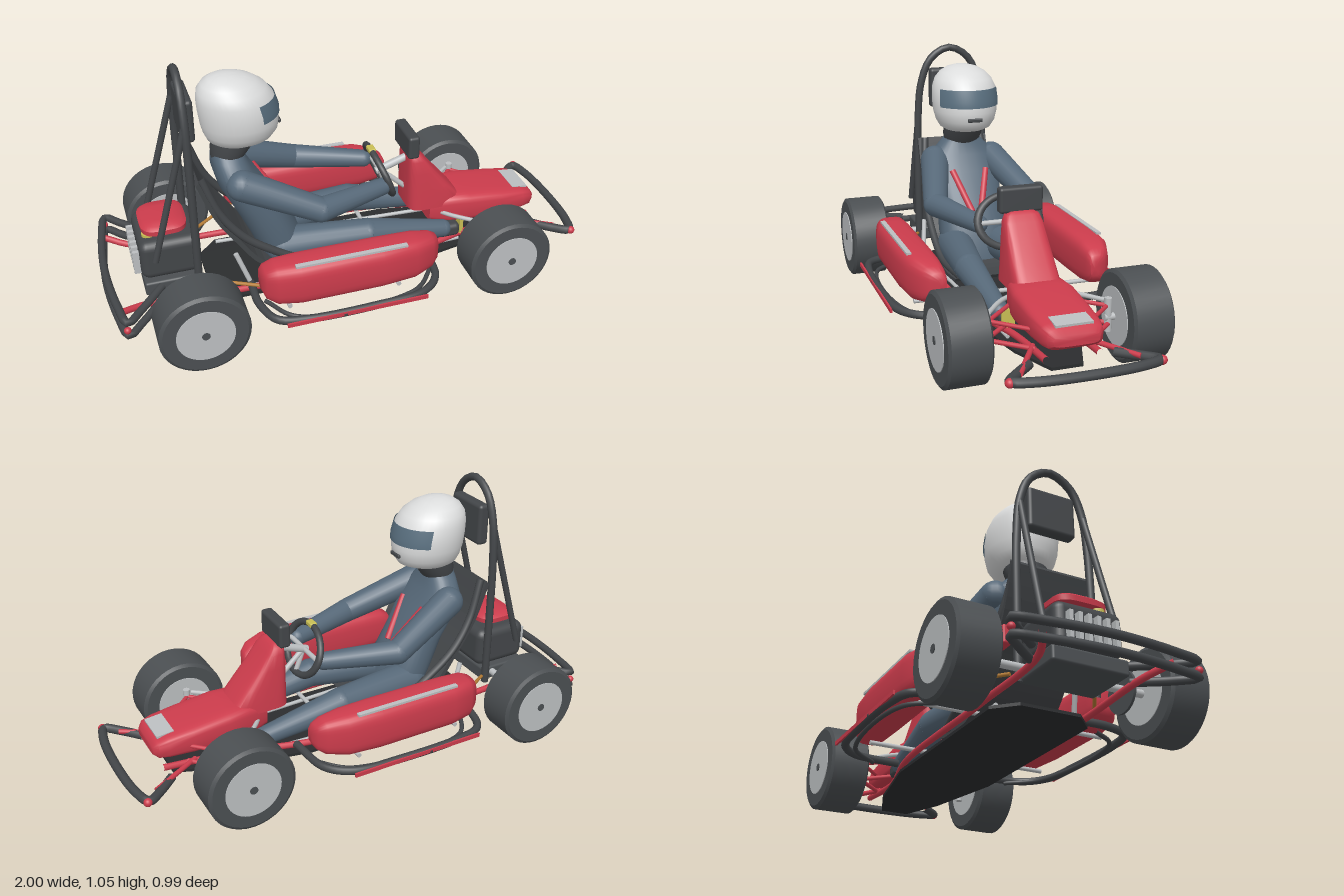
import * as THREE from 'three';
import { toCreasedNormals } from 'three/addons/utils/BufferGeometryUtils.js';
import { RoundedBoxGeometry } from 'three/addons/geometries/RoundedBoxGeometry.js';

const paint = (name, color, side = THREE.FrontSide) => {
  const m = new THREE.MeshStandardMaterial({ color, side });
  m.name = name;
  return m;
};

// Lofts superellipse rings along x or y. Section: [position, centre1, centre2, radius1, radius2];
// the two ring axes are (y, z) for axis x and (z, x) for axis y.
function loft(axis, sections, power = 2, n = 32, t0 = 0, t1 = Math.PI * 2) {
  const pos = [], idx = [], closed = t1 - t0 > 6.2;
  const put = (p, a, b) => (axis === 'x' ? pos.push(p, a, b) : pos.push(b, p, a));
  const bend = (v) => Math.sign(v) * Math.abs(v) ** (2 / power);
  for (const [p, c1, c2, r1, r2] of sections) {
    for (let j = 0; j <= n; j++) {
      const t = t0 + ((t1 - t0) * j) / n;
      put(p, c1 + r1 * bend(Math.cos(t)), c2 + r2 * bend(Math.sin(t)));
    }
  }
  const row = n + 1, last = sections.length - 1;
  for (let i = 0; i < last; i++) for (let j = 0; j < n; j++) {
    const a = i * row + j;
    idx.push(a, a + 1, a + row, a + 1, a + row + 1, a + row);
  }
  if (closed) [0, last].forEach((i) => {
    const c = pos.length / 3;
    put(...sections[i].slice(0, 3));
    for (let j = 0; j < n; j++) {
      const a = i * row + j;
      if (i) idx.push(c, a, a + 1); else idx.push(c, a + 1, a);
    }
  });
  const g = new THREE.BufferGeometry();
  g.setAttribute('position', new THREE.Float32BufferAttribute(pos, 3));
  g.setIndex(idx);
  return toCreasedNormals(g, 0.75);
}

export function createModel() {
  const red = paint('bodyRed', 0xcc3c4c), suit = paint('suitBlue', 0x566878);
  const dark = paint('tubeDark', 0x434649), tyre = paint('tyreGrey', 0x4b4f52);
  const black = paint('floorBlack', 0x2b2d2f), white = paint('helmetWhite', 0xdcdddd);
  const metal = paint('metalGrey', 0xbcbfc1), glass = paint('visorBlue', 0x5a7080, THREE.DoubleSide);
  const yellow = paint('yellow', 0xc9bf55), orange = paint('orange', 0xb57c35);

  const kart = new THREE.Group();
  kart.name = 'goKart';
  const V = (p) => new THREE.Vector3(...p);
  const add = (name, geo, mat, at = [0, 0, 0]) => {
    const m = new THREE.Mesh(geo, mat);
    m.name = name;
    m.position.set(...at);
    kart.add(m);
    return m;
  };
  const box = (name, size, at, mat, r = 0) => add(name,
    r ? new RoundedBoxGeometry(...size, 3, r) : new THREE.BoxGeometry(...size), mat, at);
  const bar = (name, a, b, r1, mat, r2 = r1, n = 14) => {
    const d = V(b).sub(V(a));
    const m = add(name, new THREE.CylinderGeometry(r2, r1, d.length(), n), mat,
      V(a).add(V(b)).multiplyScalar(0.5).toArray());
    m.quaternion.setFromUnitVectors(new THREE.Vector3(0, 1, 0), d.normalize());
    return m;
  };
  const ball = (name, at, r, mat) => add(name, new THREE.SphereGeometry(r, 18, 12), mat, at);
  const tube = (name, pts, r, mat) => add(name, new THREE.TubeGeometry(
    new THREE.CatmullRomCurve3(pts.map(V), false, 'centripetal'), 56, r, 10), mat);
  const both = (fn) => [1, -1].forEach(fn);
  // Tube whose half is given from the outer end to the centre line
  const hoop = (name, half, r, mat) => tube(name,
    [...half, ...half.slice(0, -1).reverse().map(([x, y, z]) => [x, y, -z])], r, mat);

  // Wheels
  const wheel = (name, x, z, s) => {
    const w = 0.081;
    const profile = [[0, -w], [0.162, -w], [0.175, -w + 0.009], [0.175, w - 0.009], [0.162, w], [0, w]];
    const geo = new THREE.LatheGeometry(profile.map((p) => new THREE.Vector2(...p)), 36);
    add(name + 'Tyre', toCreasedNormals(geo, 0.4), tyre, [x, 0.175, s * z]).rotation.x = Math.PI / 2;
    bar(name + 'Hub', [x, 0.175, s * (z - w - 0.003)], [x, 0.175, s * (z + w + 0.003)], 0.112, metal, 0.112, 36);
    bar(name + 'Nut', [x, 0.175, s * (z + w)], [x, 0.175, s * (z + w + 0.006)], 0.016, tyre);
  };
  both((s) => { wheel('rear', -0.67, 0.404, s); wheel('front', 0.6, 0.343, s); });
  bar('rearAxle', [-0.67, 0.175, -0.33], [-0.67, 0.175, 0.33], 0.015, metal);
  bar('brakeDisc', [-0.65, 0.175, 0.245], [-0.65, 0.175, 0.255], 0.08, tyre, 0.08, 28);
  box('brakeCaliper', [0.06, 0.07, 0.035], [-0.72, 0.245, -0.26], red, 0.008);

  // Floor and frame
  const outline = [[-0.58, 0.12], [-0.5, 0.2], [0.25, 0.2], [0.6, 0.13], [0.78, 0.06]];
  const floor = new THREE.Shape([...outline, ...outline.slice().reverse().map(([x, z]) => [x, -z])]
    .map((p) => new THREE.Vector2(...p)));
  add('floorPan', new THREE.ExtrudeGeometry(floor, { depth: 0.012, bevelEnabled: false }), black,
    [0, 0.095, 0]).rotation.x = Math.PI / 2;
  for (const x of [-0.32, 0.13]) bar('podCrossBar', [x, 0.14, -0.38], [x, 0.14, 0.38], 0.009, metal);
  both((s) => {
    tube('frameRail', [[-0.95, 0.17, s * 0.25], [-0.84, 0.145, s * 0.2], [-0.45, 0.125, s * 0.2],
      [0.2, 0.125, s * 0.19], [0.55, 0.13, s * 0.11], [0.83, 0.15, s * 0.1]], 0.013, red);
    bar('lowerRail', [-0.5, 0.105, s * 0.17], [0.5, 0.105, s * 0.12], 0.008, metal);
    bar('bumperStay', [0.7, 0.15, s * 0.1], [0.9, 0.15, s * 0.22], 0.01, red);
    // Front suspension and steering links
    for (const x of [0.47, 0.73]) {
      bar('suspensionArm', [x, 0.15, s * 0.1], [0.6, 0.15, s * 0.24], 0.009, red);
      bar('upperArm', [x, 0.22, s * 0.1], [0.6, 0.22, s * 0.23], 0.008, red);
    }
    bar('kingpin', [0.6, 0.12, s * 0.235], [0.6, 0.25, s * 0.235], 0.014, metal);
    bar('stubAxle', [0.6, 0.175, s * 0.22], [0.6, 0.175, s * 0.28], 0.014, metal);
    tube('steeringLink', [[0.4, 0.23, s * 0.05], [0.46, 0.235, s * 0.13], [0.58, 0.235, s * 0.23]], 0.009, metal);
    bar('seatStay', [-0.4, 0.2, s * 0.3], [-0.6, 0.18, s * 0.17], 0.007, orange);
    bar('seatBrace', [-0.48, 0.28, s * 0.17], [-0.43, 0.14, s * 0.19], 0.01, metal);

    // Side pods and side bumpers
    const pod = [[-0.422, 0.04, 0.03], [-0.41, 0.065, 0.05], [-0.37, 0.085, 0.066], [-0.28, 0.092, 0.075],
      [0.05, 0.092, 0.075], [0.19, 0.088, 0.068], [0.27, 0.072, 0.05], [0.3, 0.052, 0.034], [0.31, 0.03, 0.018]];
    add('sidePod', loft('x', pod.map(([x, h, w]) => [x, 0.255, s * (0.3 + w * 0.75), h, w]), 3.4), red);
    box('podStrip', [0.45, 0.009, 0.02], [-0.075, 0.3435, s * 0.4], metal);
    tube('sideBumper', [[-0.43, 0.14, s * 0.19], [-0.43, 0.14, s * 0.33], [-0.385, 0.14, s * 0.44], [-0.28, 0.14, s * 0.47],
      [0.0, 0.14, s * 0.475], [0.2, 0.14, s * 0.455], [0.285, 0.14, s * 0.38], [0.31, 0.14, s * 0.19]], 0.016, dark);
    tube('lowerSideBumper', [[-0.4, 0.125, s * 0.3], [-0.3, 0.125, s * 0.43], [0.18, 0.125, s * 0.42],
      [0.3, 0.125, s * 0.3]], 0.009, dark);
    box('sideBumperStrip', [0.57, 0.016, 0.008], [-0.075, 0.143, s * 0.489], red);
    ball('frontBumperCap', [0.952, 0.15, s * 0.275], 0.017, red);
    ball('rearBumperCap', [-0.94, 0.165, s * 0.355], 0.014, red);
  });
  hoop('frontBumper', [[0.82, 0.14, 0.16], [0.89, 0.145, 0.23], [0.945, 0.15, 0.27], [0.97, 0.15, 0.2], [0.983, 0.15, 0]], 0.018, dark);
  for (const y of [0.14, 0.2]) {
    hoop('rearBumper', [[-0.78, y + 0.01, 0.19], [-0.88, y, 0.3], [-0.935, y, 0.355], [-0.96, y, 0.25], [-0.98, y, 0]], 0.016, dark);
  }

  // Nose cone, steering fairing and display
  add('noseCone', loft('x', [[0.38, 0.235, 0, 0.05, 0.08], [0.46, 0.24, 0, 0.07, 0.11], [0.55, 0.24, 0, 0.067, 0.122],
    [0.7, 0.232, 0, 0.056, 0.12], [0.8, 0.228, 0, 0.046, 0.114], [0.84, 0.225, 0, 0.038, 0.104], [0.858, 0.222, 0, 0.02, 0.085]], 4.5), red);
  const fairing = [[0.265, 0.285, 0.5, 0.098], [0.3, 0.284, 0.515, 0.096], [0.36, 0.284, 0.465, 0.09],
    [0.43, 0.284, 0.405, 0.083], [0.49, 0.285, 0.36, 0.076], [0.515, 0.287, 0.34, 0.066], [0.527, 0.293, 0.325, 0.045]];
  add('steeringFairing', loft('y', fairing.map(([y, a, b, w]) => [y, 0, (a + b) / 2, w, (b - a) / 2]), 4.5), red);
  box('nosePanel', [0.07, 0.009, 0.14], [0.8, 0.272, 0], metal).rotation.z = -0.1;
  box('dashDisplay', [0.048, 0.1, 0.175], [0.295, 0.568, 0], dark, 0.012);

  // Steering wheel
  const rim = add('steeringWheel', new THREE.TorusGeometry(0.105, 0.014, 10, 36), dark, [0.175, 0.445, 0]);
  rim.rotation.set(0, Math.PI / 2, 0.37, 'ZYX');
  rim.scale.x = 1.22;
  bar('wheelSpoke', [0.175, 0.445, -0.12], [0.175, 0.445, 0.12], 0.01, metal);
  bar('wheelSpokeUpright', [0.175, 0.445, 0], [0.21, 0.355, 0], 0.01, metal);
  bar('steeringColumn', [0.16, 0.438, 0], [0.31, 0.49, 0], 0.016, metal);
  bar('steeringShaft', [0.18, 0.44, 0], [0.42, 0.22, 0], 0.011, metal);
  box('wheelButton', [0.03, 0.02, 0.045], [0.138, 0.547, 0], yellow, 0.005);
  box('pedal', [0.015, 0.07, 0.05], [0.5, 0.18, 0.12], yellow);

  // Seat: a curved shell with rolled edges
  const line = [[-0.6, 0.63], [-0.54, 0.47], [-0.46, 0.34], [-0.36, 0.21], [-0.2, 0.14], [-0.03, 0.15]];
  const curve = new THREE.SplineCurve(line.map((p) => new THREE.Vector2(...p))).getPoints(20);
  const seat = new THREE.Shape([...curve, ...curve.slice().reverse().map((p) => new THREE.Vector2(p.x - 0.012, p.y - 0.016))]);
  add('seatShell', new THREE.ExtrudeGeometry(seat, { depth: 0.32, bevelEnabled: false }), dark, [0, 0, -0.16]);
  both((s) => tube('seatEdge', line.map(([x, y], i) => [x + 0.01, y + [0, 0, 0.02, 0.07, 0.05, 0.01][i],
    s * [0.13, 0.15, 0.165, 0.172, 0.17, 0.14][i]]), 0.016, dark));

  // Roll hoop and headrest
  hoop('rollHoop', [[-0.63, 0.14, 0.155], [-0.63, 0.45, 0.155], [-0.63, 0.72, 0.15], [-0.63, 0.88, 0.132],
    [-0.63, 0.985, 0.085], [-0.63, 1.03, 0]], 0.016, dark);
  both((s) => bar('hoopStrut', [-0.63, 0.87, s * 0.135], [-0.79, 0.3, s * 0.15], 0.013, dark));
  box('headrest', [0.05, 0.175, 0.2], [-0.612, 0.855, 0], dark, 0.015);

  // Engine
  box('engineBlock', [0.24, 0.17, 0.27], [-0.725, 0.285, 0], dark, 0.035);
  box('engineMount', [0.22, 0.06, 0.3], [-0.73, 0.17, 0], tyre, 0.01);
  bar('fuelCap', [-0.8, 0.355, 0.06], [-0.8, 0.38, 0.06], 0.025, yellow);
  add('airFilter', loft('y', [[0.375, 0, -0.735, 0.085, 0.07], [0.385, 0, -0.735, 0.105, 0.09], [0.405, 0, -0.735, 0.105, 0.092],
    [0.418, 0, -0.735, 0.09, 0.076], [0.422, 0, -0.735, 0.05, 0.04]], 3.5), red);
  for (let i = 0; i < 6; i++) box('coolingFin', [0.03, 0.1, 0.015], [-0.855, 0.27, -0.09 + i * 0.036], metal);

  // Driver body
  add('torso', loft('y', [[0.17, 0, -0.26, 0.13, 0.09], [0.28, 0, -0.29, 0.15, 0.1], [0.4, 0, -0.35, 0.14, 0.095],
    [0.52, 0, -0.415, 0.155, 0.088], [0.59, 0, -0.445, 0.145, 0.075], [0.64, 0, -0.455, 0.095, 0.065], [0.665, 0, -0.455, 0.07, 0.06]], 2.4), suit);
  add('neck', loft('y', [[0.64, 0, -0.455, 0.075, 0.066], [0.68, 0, -0.44, 0.085, 0.08], [0.72, 0, -0.425, 0.085, 0.085]]), dark);
  const limb = (name, joints) => joints.forEach(([p, r], i) => {
    ball(name + 'Joint', p, r, suit);
    if (i) bar(name, joints[i - 1][0], p, joints[i - 1][1], suit, r, 18);
  });
  both((s) => {
    limb('arm', [[[-0.43, 0.565, s * 0.13], 0.062], [[-0.14, 0.445, s * 0.21], 0.05], [[0.145, 0.435, s * 0.115], 0.036]]);
    limb('leg', [[[-0.27, 0.225, s * 0.09], 0.075], [[0.08, 0.235, s * 0.135], 0.06], [[0.42, 0.175, s * 0.125], 0.038]]);
    box('shoe', [0.09, 0.06, 0.06], [0.45, 0.165, s * 0.12], dark, 0.02);
    bar('harnessBelt', [-0.345, 0.53, s * 0.075], [-0.235, 0.37, s * 0.02], 0.014, red);
  });

  // Helmet, visor and chin vent
  add('helmet', loft('y', [[0.705, 0, -0.41, 0.085, 0.1], [0.72, 0, -0.402, 0.108, 0.128], [0.75, 0, -0.398, 0.126, 0.145],
    [0.79, 0, -0.4, 0.137, 0.152], [0.84, 0, -0.404, 0.14, 0.154], [0.89, 0, -0.413, 0.136, 0.148], [0.925, 0, -0.424, 0.122, 0.132],
    [0.952, 0, -0.434, 0.097, 0.104], [0.97, 0, -0.441, 0.065, 0.07], [0.979, 0, -0.445, 0.03, 0.032], [0.981, 0, -0.445, 0.004, 0.004]], 2, 40), white);
  add('visor', loft('y', [[0.815, 0, -0.402, 0.143, 0.157], [0.84, 0, -0.404, 0.144, 0.158], [0.89, 0, -0.413, 0.14, 0.152]],
    2, 24, Math.PI / 2 - 1.12, Math.PI / 2 + 1.12), glass);
  box('chinVent', [0.012, 0.016, 0.064], [-0.249, 0.765, 0], dark, 0.005);

  return kart;
}
